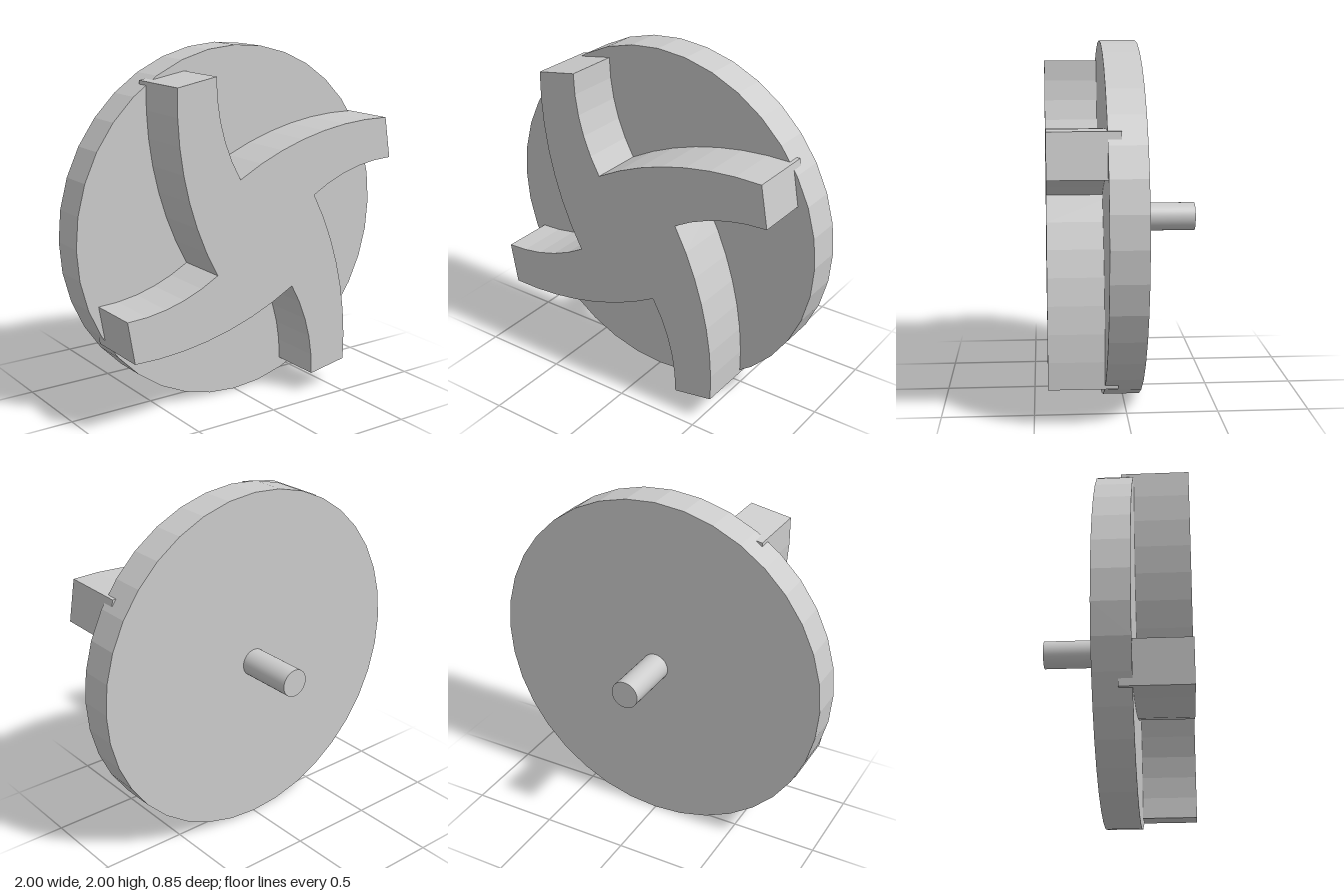
import * as THREE from 'three';

// points on a circular arc, listed by x from x0 to x1 (upper half of the circle)
function arcPoints(cx, cy, r, x0, x1, segments) {
  const a0 = Math.acos((x0 - cx) / r), a1 = Math.acos((x1 - cx) / r);
  return Array.from({ length: segments + 1 }, (_, i) => {
    const a = a0 + (a1 - a0) * i / segments;
    return new THREE.Vector2(cx + r * Math.cos(a), cy + r * Math.sin(a));
  });
}

export function createModel() {
  const model = new THREE.Group();
  model.name = 'impeller';
  const flat = new THREE.MeshStandardMaterial({ color: 0xcccccc, flatShading: true });
  const smooth = new THREE.MeshStandardMaterial({ color: 0xcccccc });

  // round cylinder lying along z between two depths
  const addCylinder = (name, radius, z0, z1, sides, material) => {
    const geometry = new THREE.CylinderGeometry(radius, radius, z1 - z0, sides);
    geometry.rotateX(Math.PI / 2);
    const mesh = new THREE.Mesh(geometry, material);
    mesh.name = name;
    mesh.position.set(0, 1, (z0 + z1) / 2);
    model.add(mesh);
  };
  addCylinder('backPlate', 1, -0.08, 0.12, 36, flat);
  addCylinder('shaft', 0.08, -0.425, -0.08, 36, smooth);

  // one curved vane outline, repeated four times around the centre
  const vane = [
    ...arcPoints(0.87, -0.72, 1.05, 0.325, 0.88, 5),
    ...arcPoints(0.75, -1.33, 1.898, 0.84, -0.175, 7).slice(0, -1),
  ];
  const outline = [];
  const centre = new THREE.Vector2();
  for (let i = 0; i < 4; i++) {
    for (const p of vane) outline.push(p.clone().rotateAround(centre, i * Math.PI / 2));
  }
  const geometry = new THREE.ExtrudeGeometry(new THREE.Shape(outline), { depth: 0.375, bevelEnabled: false });
  const vanes = new THREE.Mesh(geometry, flat);
  vanes.name = 'curvedVanes';
  vanes.position.set(0, 1, 0.05); // sunk into the plate
  model.add(vanes);

  return model;
}
